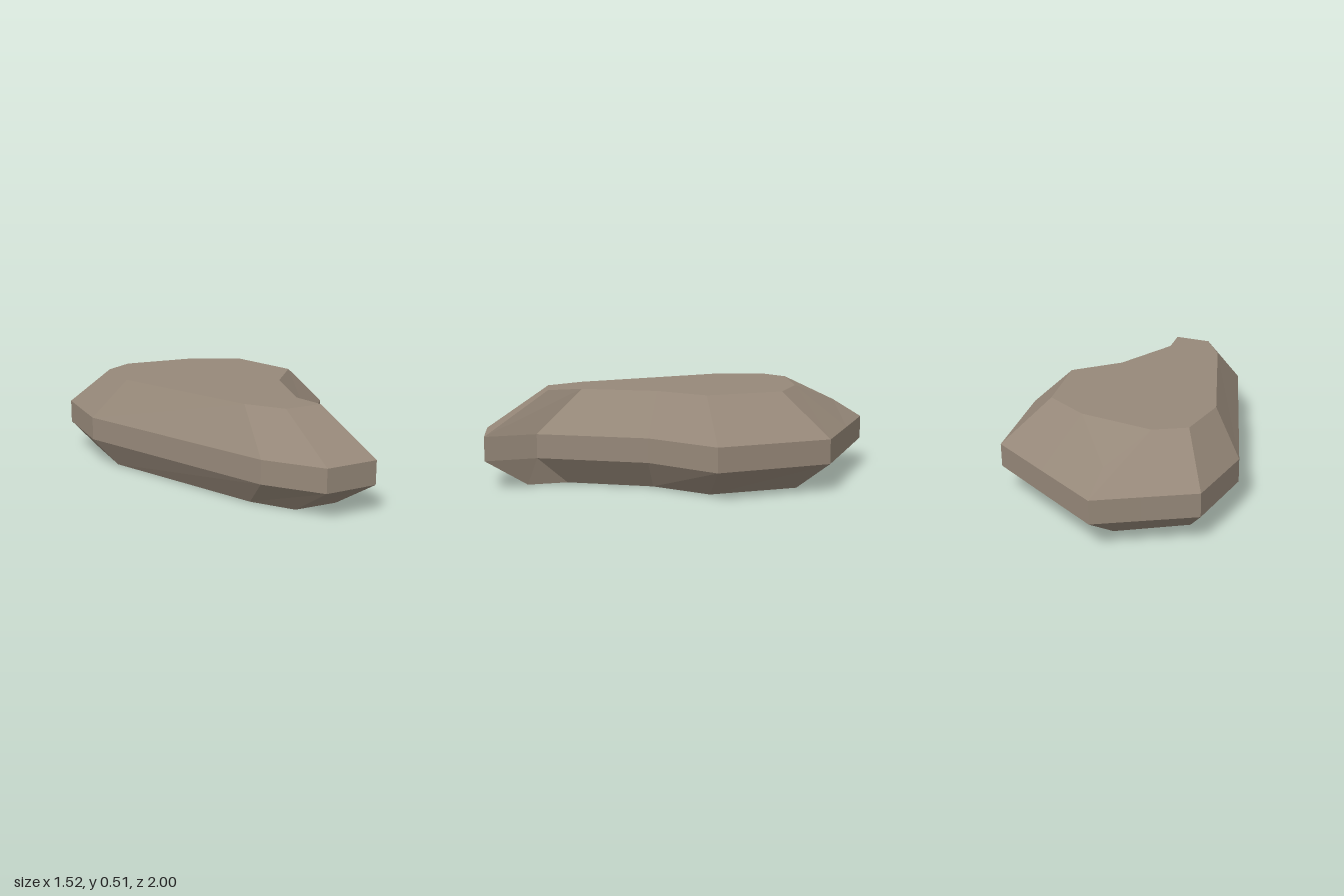
import * as THREE from 'three';

export function createModel() {
  const stone = new THREE.MeshStandardMaterial({ color: 0x968879 });
  stone.name = 'warm grey stone';
  stone.flatShading = true;

  // Plan outlines as [x, z], clockwise seen from above, starting at the back corner.
  const rim = [
    [-0.42, -1], [0, -0.94], [0.41, -0.88], [0.76, -0.35], [0.58, 0.05], [0.58, 0.66],
    [0.72, 0.9], [0.44, 1], [0.15, 0.81], [-0.65, -0.14], [-0.765, -0.57], [-0.58, -0.8],
  ];
  const crown = [
    [-0.36, -0.84], [0, -0.65], [0.29, -0.61], [0.53, -0.25], [0.41, 0.04], [0.41, 0.46],
    [0.5, 0.62], [0.3, 0.69], [0.11, 0.56], [-0.45, -0.1], [-0.53, -0.4], [-0.41, -0.55],
  ];
  const base = [
    [-0.36, -0.78], [0, -0.74], [0.34, -0.7], [0.59, -0.28], [0.47, 0.05], [0.47, 0.53],
    [0.57, 0.72], [0.34, 0.78], [0.13, 0.64], [-0.51, -0.11], [-0.6, -0.46], [-0.48, -0.62],
  ];
  const ring = (outline, y) => outline.map(([x, z]) => new THREE.Vector3(x, y, z));
  const rings = [ring(base, 0.005), ring(rim, 0.155), ring(rim, 0.285), ring(crown, 0.512)];
  rings[0][7].y = 0;
  rings[3][0].y = 0.39; // chipped back corner

  const points = [];
  const tri = (a, b, c) => points.push(a, b, c);

  // Lower bevel, upright rim and upper bevel
  for (let r = 0; r < 3; r++) {
    const lo = rings[r], hi = rings[r + 1];
    for (let i = 0; i < lo.length; i++) {
      const j = (i + 1) % lo.length;
      tri(lo[i], hi[i], lo[j]);
      tri(lo[j], hi[i], hi[j]);
    }
  }

  // Flat caps; each triangle is turned to face up or down
  const cap = (loop, up) => {
    const flat = loop.map((p) => new THREE.Vector2(p.x, p.z));
    for (const [i, j, k] of THREE.ShapeUtils.triangulateShape(flat, [])) {
      const a = loop[i], b = loop[j], c = loop[k];
      const ny = (b.z - a.z) * (c.x - a.x) - (b.x - a.x) * (c.z - a.z);
      if (ny * up > 0) tri(a, b, c);
      else tri(a, c, b);
    }
  };
  cap(rings[0], -1);
  cap(rings[3].slice(1), 1);
  cap([rings[3][0], rings[3][1], rings[3][11]], 1); // sloping facet of the chip

  const geometry = new THREE.BufferGeometry().setFromPoints(points);
  geometry.computeVertexNormals();
  const slab = new THREE.Mesh(geometry, stone);
  slab.name = 'rockSlab';

  const group = new THREE.Group();
  group.name = 'rock';
  group.add(slab);
  return group;
}
